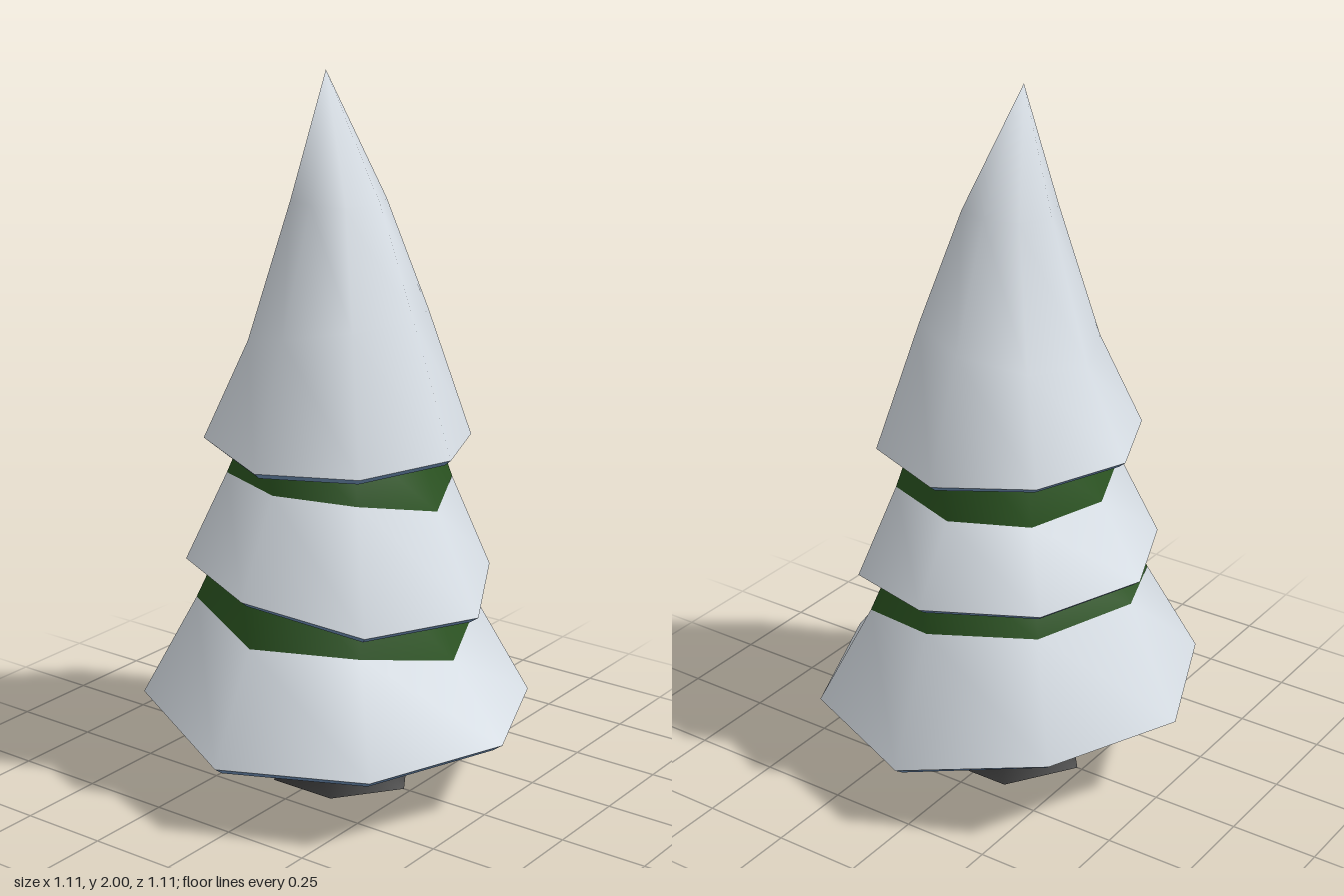
import * as THREE from 'three';

const mat = (name, color) => {
  const m = new THREE.MeshStandardMaterial({ color });
  m.name = name;
  return m;
};

// One ring of corners, counted from +x round to the front (+z).
// Radius and height are single numbers or one value per corner.
function ring(r, y, n = 8, cx = 0, cz = 0) {
  return Array.from({ length: n }, (_, i) => {
    const a = (i / n) * Math.PI * 2;
    const ri = Array.isArray(r) ? r[i] : r;
    const yi = Array.isArray(y) ? y[i] : y;
    return new THREE.Vector3(cx + ri * Math.cos(a), yi, cz + ri * Math.sin(a));
  });
}

// Skin a stack of rings from bottom to top; a ring of one point closes an end.
function loft(rings, flat = false) {
  const pos = [], idx = [], start = [];
  for (const r of rings) {
    start.push(pos.length / 3);
    r.forEach((p) => pos.push(p.x, p.y, p.z));
  }
  for (let k = 0; k < rings.length - 1; k++) {
    const a = rings[k].length, b = rings[k + 1].length, n = Math.max(a, b);
    for (let i = 0; i < n; i++) {
      const j = (i + 1) % n;
      const a0 = start[k] + (i % a), a1 = start[k] + (j % a);
      const b0 = start[k + 1] + (i % b), b1 = start[k + 1] + (j % b);
      if (b > 1) idx.push(a0, b0, b1);
      if (a > 1) idx.push(a0, b1, a1);
    }
  }
  let g = new THREE.BufferGeometry();
  g.setAttribute('position', new THREE.Float32BufferAttribute(pos, 3));
  g.setIndex(idx);
  if (flat) g = g.toNonIndexed();
  g.computeVertexNormals();
  return g;
}

export function createModel() {
  const snow = mat('snow', 0xe1e8ef);
  const needles = mat('green needles', 0x2a5320);
  const shade = mat('blue snow underside', 0x7497c0);
  const bark = mat('dark bark', 0x313131);

  const tree = new THREE.Group();
  tree.name = 'snowyTree';
  const add = (parent, name, geometry, material) => {
    const m = new THREE.Mesh(geometry, material);
    m.name = name;
    parent.add(m);
  };

  // Each tier: uneven snow hem, snow rings above it, and a bare green collar
  const tiers = [
    {
      name: 'lowerTier', lip: 0.022,
      hem: ring(0.553, [0.222, 0.213, 0.205, 0.275, 0.27, 0.275, 0.205, 0.213]),
      rings: [ring([0.39, 0.4, 0.4, 0.4, 0.4, 0.4, 0.4, 0.4],
        [0.43, 0.5, 0.5, 0.55, 0.595, 0.58, 0.56, 0.49])],
      collar: ring([0.27, 0.29, 0.32, 0.31, 0.3, 0.31, 0.32, 0.29], 0.74),
    },
    {
      name: 'middleTier', lip: 0.018,
      hem: ring([0.468, 0.462, 0.432, 0.427, 0.427, 0.432, 0.432, 0.432],
        [0.573, 0.583, 0.643, 0.665, 0.672, 0.665, 0.648, 0.605]),
      rings: [ring([0.33, 0.335, 0.295, 0.31, 0.3, 0.31, 0.3, 0.32],
        [0.847, 0.905, 0.905, 0.91, 0.88, 0.87, 0.86, 0.87])],
      collar: ring([0.255, 0.255, 0.25, 0.245, 0.23, 0.245, 0.25, 0.255], 1.06),
    },
    {
      name: 'topTier', lip: 0.017,
      hem: ring(0.372, [0.998, 0.99, 0.985, 1.012, 1.015, 1.012, 0.99, 0.99]),
      rings: [
        ring(0.248, [1.36, 1.35, 1.32, 1.28, 1.26, 1.28, 1.32, 1.35]),
        ring([0.137, 0.13, 0.123, 0.13, 0.13, 0.13, 0.123, 0.13], 1.66),
        [new THREE.Vector3(-0.042, 2, 0)],
      ],
    },
  ];

  for (const t of tiers) {
    const g = new THREE.Group();
    g.name = t.name;
    tree.add(g);
    add(g, 'snowCap', loft([t.hem, ...t.rings]), snow);
    if (t.collar) add(g, 'greenCollar', loft([t.rings[0], t.collar]), needles);
    // bevelled rim and underside
    const rim = t.hem.map((p) => new THREE.Vector3(p.x * 0.945, p.y - t.lip, p.z * 0.945));
    const mid = rim.reduce((s, p) => s + p.y, 0) / rim.length;
    add(g, 'rim', loft([rim, t.hem], true), shade);
    add(g, 'underside', loft([[new THREE.Vector3(0, mid, 0)], rim], true), shade);
  }

  // Six-sided trunk flaring out at the foot
  const foot = ring([0.23, 0.2, 0.2, 0.235, 0.22, 0.22], 0, 6);
  add(tree, 'trunk', loft([
    foot,
    ring(0.125, 0.09, 6, -0.005, -0.01),
    ring(0.11, 0.3, 6, 0, -0.025),
  ]), bark);
  add(tree, 'trunkBase', loft([[new THREE.Vector3(0, 0, 0)], foot]), bark);

  return tree;
}
